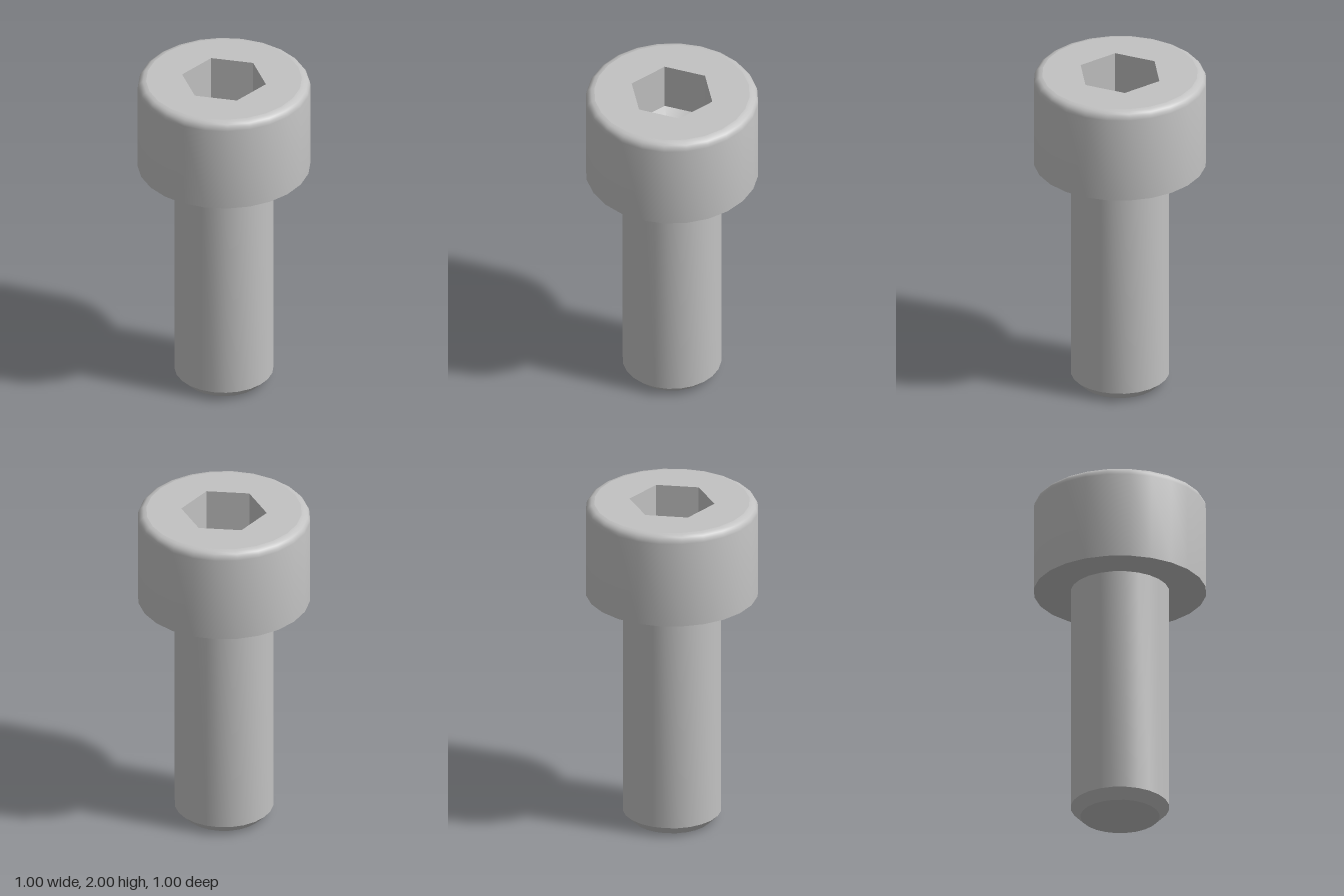
import * as THREE from 'three';
import { toCreasedNormals } from 'three/addons/utils/BufferGeometryUtils.js';

const SIDES = 24;
const HEAD_R = 0.5, HEAD_BOTTOM = 1.43, TOP = 2, FILLET = 0.05;
const SHAFT_R = 0.286, CHAMFER = 0.057;
const HEX_R = 0.248, SOCKET_FLOOR = 1.714, SOCKET_TIP = 1.57;

export function createModel() {
  const steel = new THREE.MeshStandardMaterial({ color: 0xc2c2c2 });
  steel.name = 'steelGrey';
  const group = new THREE.Group();
  group.name = 'socketHeadBolt';

  const add = (name, geometry) => {
    const mesh = new THREE.Mesh(geometry, steel);
    mesh.name = name;
    group.add(mesh);
  };
  // Revolved profile; edges sharper than the crease angle stay hard
  const revolve = (points, sides) => toCreasedNormals(
    new THREE.LatheGeometry(points.map(([r, y]) => new THREE.Vector2(r, y)), sides), 0.6);
  // Regular polygon with a corner on the vertical axis
  const polygon = (r, sides) => Array.from({ length: sides }, (_, i) => {
    const a = (i / sides) * Math.PI * 2;
    return new THREE.Vector2(r * Math.sin(a), r * Math.cos(a));
  });

  // Shaft with chamfered tip
  add('shaft', revolve([
    [0, 0], [SHAFT_R - CHAMFER, 0], [SHAFT_R, CHAMFER], [SHAFT_R, HEAD_BOTTOM],
  ], SIDES));

  // Head: underside, wall and rounded upper rim
  const head = [[SHAFT_R, HEAD_BOTTOM], [HEAD_R, HEAD_BOTTOM]];
  for (let i = 0; i <= 4; i++) {
    const a = (i / 4) * Math.PI / 2;
    head.push([HEAD_R - FILLET + FILLET * Math.cos(a), TOP - FILLET + FILLET * Math.sin(a)]);
  }
  add('head', revolve(head, SIDES));

  // Flat top face with hexagonal opening
  const face = new THREE.Shape(polygon(HEAD_R - FILLET, SIDES));
  face.holes.push(new THREE.Path(polygon(HEX_R, 6)));
  add('headTop', new THREE.ShapeGeometry(face).rotateX(-Math.PI / 2).translate(0, TOP, 0));

  // Hex socket walls and conical floor
  add('hexSocket', revolve([[HEX_R, TOP], [HEX_R, SOCKET_FLOOR], [0, SOCKET_TIP]], 6));

  return group;
}
